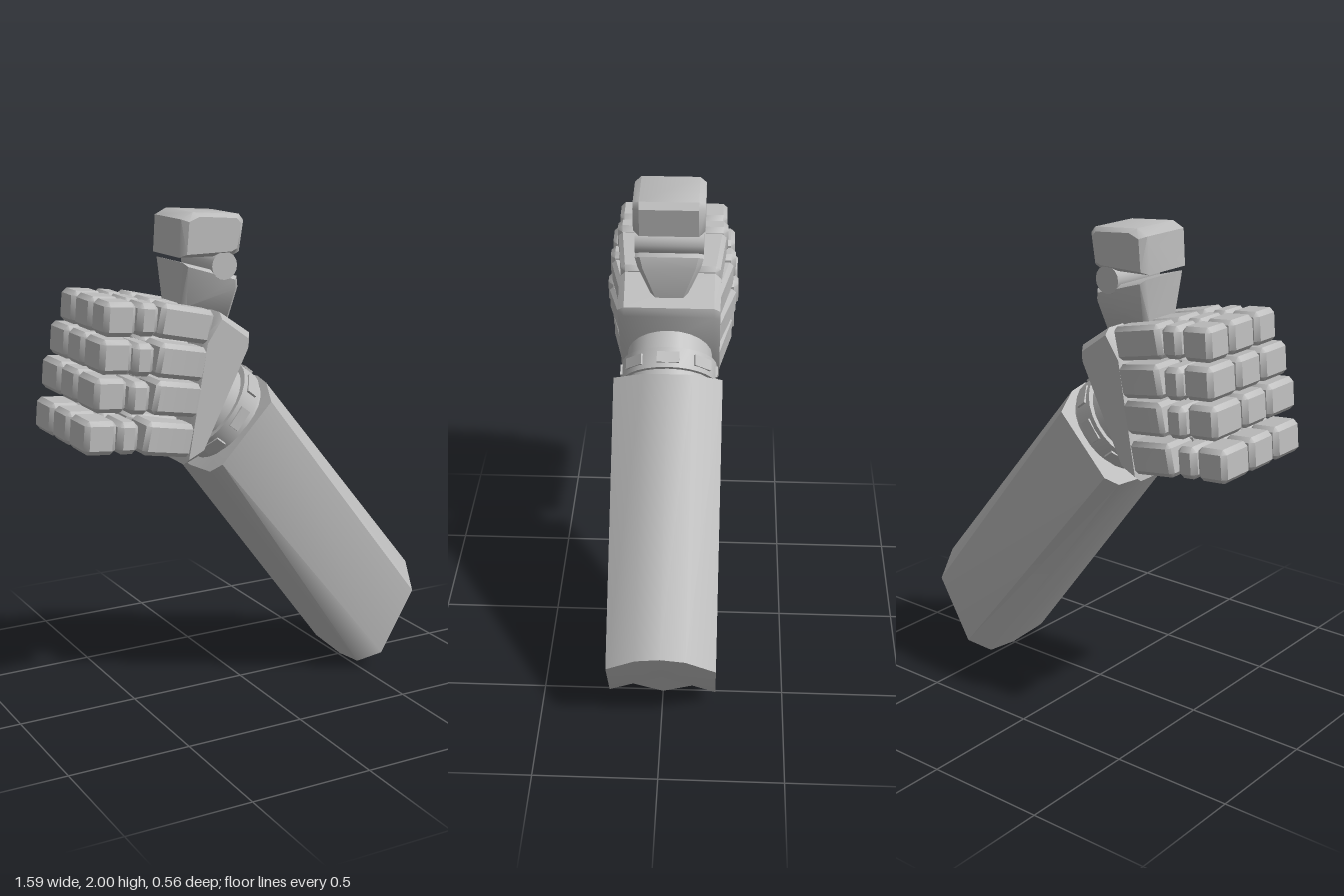
import * as THREE from 'three';
import { toCreasedNormals } from 'three/addons/utils/BufferGeometryUtils.js';
import { ConvexGeometry } from 'three/addons/geometries/ConvexGeometry.js';

const V = (x, y, z) => new THREE.Vector3(x, y, z);

export function createModel() {
  const model = new THREE.Group();
  const grey = new THREE.MeshStandardMaterial({ color: 0xbcbcbc });
  grey.name = 'plain grey';

  function add(parent, name, geometry) {
    const mesh = new THREE.Mesh(geometry, grey);
    mesh.name = name;
    parent.add(mesh);
    return mesh;
  }
  const hull = (points, crease = 0.7) => toCreasedNormals(new ConvexGeometry(points), crease);

  // Box with chamfered edges; warp may move its points
  function block(w, h, d, c, warp) {
    const points = [];
    for (const sx of [-0.5, 0.5]) for (const sy of [-0.5, 0.5]) for (const sz of [-0.5, 0.5]) {
      for (let k = 0; k < 3; k++) {
        const p = V(sx * (w - (k === 0 ? 0 : 2 * c)), sy * (h - (k === 1 ? 0 : 2 * c)), sz * (d - (k === 2 ? 0 : 2 * c)));
        if (warp) warp(p);
        points.push(p);
      }
    }
    return hull(points);
  }

  // Solid from an outline in x, y, mirrored in z, with a chamfered rim
  function slab(outline, half, c, narrow) {
    const cx = outline.reduce((s, p) => s + p[0], 0) / outline.length;
    const cy = outline.reduce((s, p) => s + p[1], 0) / outline.length;
    const points = [];
    for (const [x, y] of outline) for (const s of [-1, 1]) {
      const z = narrow ? narrow(y) : half;
      const dx = x - cx, dy = y - cy, f = 1 - c / Math.hypot(dx, dy);
      points.push(V(x, y, s * (z - c)), V(cx + dx * f, cy + dy * f, s * z));
    }
    return hull(points);
  }

  // Forearm: two matching rings with slanted ends
  const mirrorRing = (half) => [...half, ...half.slice(1, -1).reverse().map(([x, y, z]) => [x, y, -z])];
  const wristRing = mirrorRing([[-0.23, 0.97, 0], [-0.225, 0.98, 0.16], [-0.2, 1.02, 0.22],
    [0.02, 1.25, 0.22], [0.065, 1.3, 0.1], [0.08, 1.31, 0]]);
  const elbowRing = mirrorRing([[0.51, 0, 0], [0.49, 0.03, 0.17], [0.58, 0.07, 0.22],
    [0.735, 0.33, 0.22], [0.78, 0.42, 0.1], [0.79, 0.44, 0]]);
  const pos = [];
  const n = wristRing.length;
  const centre = (r) => [0, 1, 2].map((k) => r.reduce((s, p) => s + p[k], 0) / n);
  for (let i = 0; i < n; i++) {
    const j = (i + 1) % n, a = wristRing[i], b = wristRing[j], c = elbowRing[i], d = elbowRing[j];
    pos.push(...a, ...c, ...b, ...b, ...c, ...d);
    pos.push(...a, ...b, ...centre(wristRing));
    pos.push(...d, ...c, ...centre(elbowRing));
  }
  const armGeometry = new THREE.BufferGeometry();
  armGeometry.setAttribute('position', new THREE.Float32BufferAttribute(pos, 3));
  add(model, 'forearm', toCreasedNormals(armGeometry, 0.65));

  // Wrist: local y runs from the forearm up to the palm
  const wrist = new THREE.Group();
  wrist.name = 'wrist';
  wrist.position.set(-0.11, 1.19, 0);
  wrist.rotation.z = 0.91;
  model.add(wrist);
  const neck = new THREE.CylinderGeometry(0.17, 0.19, 0.32, 24);
  add(wrist, 'wristCore', neck);
  const cuff = add(wrist, 'wristCuff', toCreasedNormals(new THREE.CylinderGeometry(0.203, 0.203, 0.085, 28), 0.6));
  cuff.scale.z = 0.96;
  for (let i = 0; i < 8; i++) {
    const a = (i * Math.PI) / 4;
    const plate = add(wrist, 'cuffPlate', new THREE.BoxGeometry(0.09, 0.045, 0.009));
    plate.position.set(Math.sin(a) * 0.202, 0, Math.cos(a) * 0.195);
    plate.rotation.y = a;
  }

  // Palm
  add(model, 'palm', slab([[-0.26, 1.53], [-0.19, 1.62], [-0.06, 1.53], [-0.06, 1.49], [-0.2, 1.2],
    [-0.28, 1.06], [-0.35, 1.03], [-0.32, 1.18]], 0.205, 0.025));

  // Fingers: four stacked, each with a front, middle and back row of segments
  const fingers = [
    { base: [-0.345, 1.588], joint: [-0.513, 1.62], tip: [-0.625, 1.63], outer: 0.225 },
    { base: [-0.37, 1.445], joint: [-0.55, 1.477], tip: [-0.66, 1.497], outer: 0.26 },
    { base: [-0.395, 1.305], joint: [-0.577, 1.337], tip: [-0.693, 1.358], outer: 0.275 },
    { base: [-0.43, 1.148], joint: [-0.62, 1.185], tip: [-0.73, 1.197], outer: 0.26 },
  ];
  for (const { base, joint, tip, outer } of fingers) {
    const finger = new THREE.Group();
    finger.name = 'finger';
    model.add(finger);
    for (const side of [-1, 0, 1]) {
      const depth = side ? outer - 0.09 : 0.15;
      const z = side * (outer + 0.09) / 2;
      const place = (name, geometry, [x, y], tilt) => {
        const mesh = add(finger, name, geometry);
        mesh.position.set(x, y, z);
        mesh.rotation.z = tilt;
      };
      const narrow = (p) => {
        if (p.z * side > 0) p.z -= side * (p.x / 0.24 + 0.5) * (outer - 0.2);
      };
      place('fingerBase', block(0.24, 0.132, depth, 0.018, narrow), base, -0.22);
      place('fingerJoint', block(0.085, 0.125, depth + 0.01, 0.02), joint, -0.1);
      place('fingerTip', block(0.128, 0.13, depth, 0.018), tip, -0.09);
    }
  }

  // Thumb
  const thumb = new THREE.Group();
  thumb.name = 'thumb';
  model.add(thumb);
  add(thumb, 'thumbBase', slab([[-0.315, 1.81], [-0.31, 1.63], [-0.23, 1.59], [-0.09, 1.56], [-0.07, 1.7],
    [-0.08, 1.745]], 0.13, 0.02, (y) => THREE.MathUtils.clamp(0.075 + (y - 1.56) * 0.35, 0.075, 0.135)));
  const pin = add(thumb, 'thumbHinge', toCreasedNormals(new THREE.CylinderGeometry(0.055, 0.055, 0.27, 16), 0.6));
  pin.rotation.x = Math.PI / 2;
  pin.position.set(-0.143, 1.79, 0);
  add(thumb, 'thumbTip', slab([[-0.33, 1.83], [-0.32, 1.975], [-0.27, 2], [-0.07, 1.985], [-0.05, 1.96],
    [-0.07, 1.84], [-0.1, 1.825]], 0.14, 0.025));
  return model;
}
